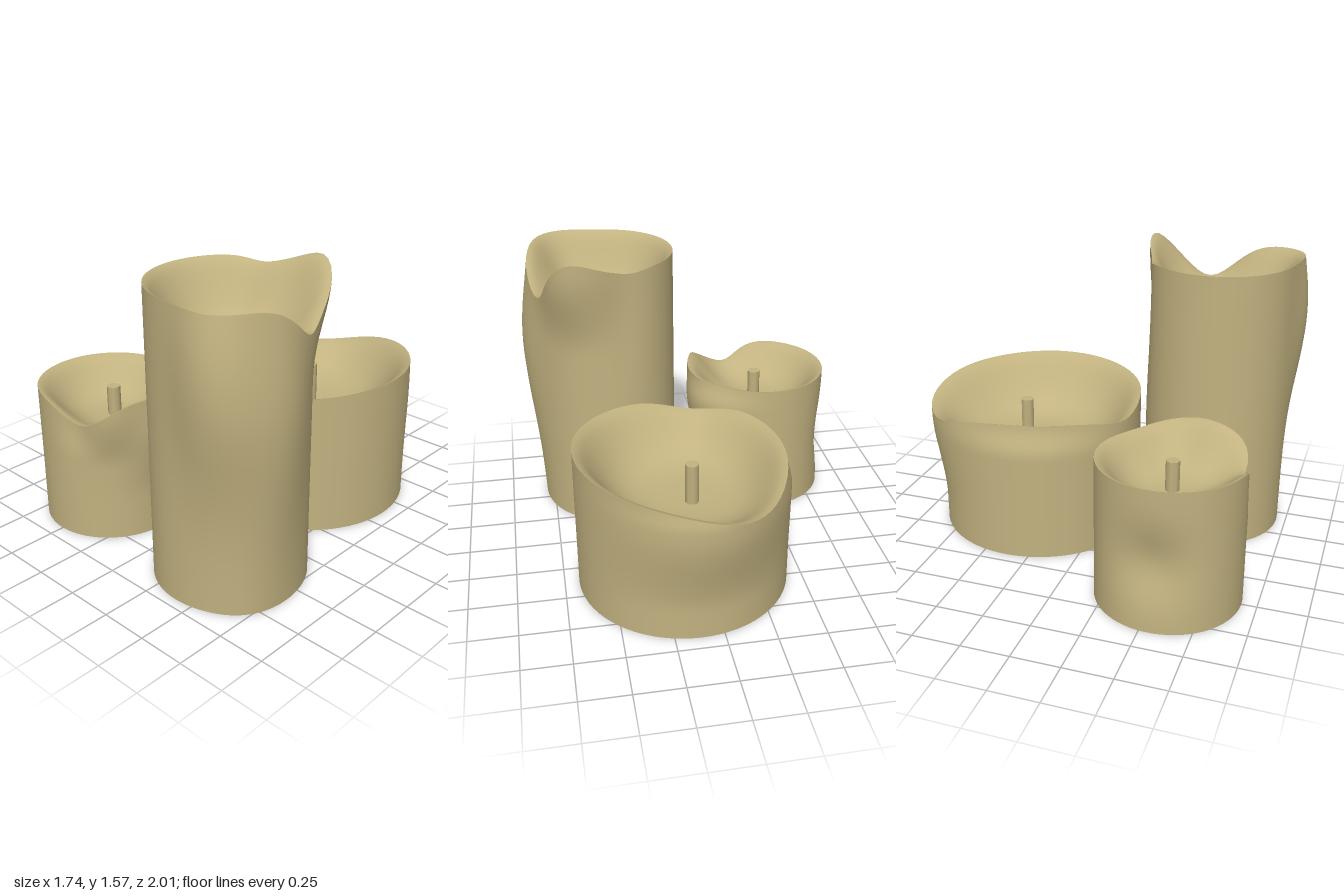
import * as THREE from 'three';

const SEGMENTS = 72;

// Smooth bump around the candle, centred on an angle in degrees
// (0 is +x, 90 is +z).
function around(angle, centre, width) {
  const d = ((angle - centre + 540) % 360) - 180;
  return Math.exp(-((d / width) ** 2));
}
// Smooth swelling up the candle, fading over different lengths below and above.
const swell = (y, centre, below, above) =>
  Math.exp(-(((y - centre) / (y < centre ? below : above)) ** 2));
const ramp = (y, from, to) => THREE.MathUtils.smoothstep(y, from, to);

// Closed surface through rings; point(row, angle) gives [radius, height].
function ringSurface(rows, point) {
  const positions = [];
  const index = [];
  for (let j = 0; j <= rows; j++) {
    for (let i = 0; i < SEGMENTS; i++) {
      const deg = (i / SEGMENTS) * 360;
      const a = THREE.MathUtils.degToRad(deg);
      const [r, y] = point(j / rows, deg);
      positions.push(r * Math.cos(a), y, r * Math.sin(a));
      if (j === rows) continue;
      const k = (i + 1) % SEGMENTS;
      const p = j * SEGMENTS + i, q = j * SEGMENTS + k;
      index.push(p, p + SEGMENTS, q, q, p + SEGMENTS, q + SEGMENTS);
    }
  }
  const geometry = new THREE.BufferGeometry();
  geometry.setAttribute('position', new THREE.Float32BufferAttribute(positions, 3));
  geometry.setIndex(index);
  geometry.computeVertexNormals();
  return geometry;
}

function makeCandle(spec, wax) {
  const { name, centre, radius, rim, floor, hollow, wick } = spec;
  const candle = new THREE.Group();
  candle.name = name;
  candle.position.set(centre[0], 0, centre[1]);
  const add = (part, geometry) => {
    const mesh = new THREE.Mesh(geometry, wax);
    mesh.name = part;
    candle.add(mesh);
    return mesh;
  };

  // outer wall, sagging and bulging as it rises
  add('wall', ringSurface(28, (t, a) => {
    const y = t * rim(a);
    return [radius(a, y), y];
  }));
  // melted hollow: a rounded lip, then a bowl down to the wick
  add('meltedHollow', ringSurface(20, (t, a) => {
    const s = 1 - t;
    const top = rim(a);
    const rise = Math.sin((Math.PI / 2) * s ** hollow);
    return [radius(a, top) * s, floor + (top - floor) * rise];
  }));
  // flat underside
  add('underside', ringSurface(1, (t, a) => [radius(a, 0) * t, 0]));
  // wick
  const bottom = floor - 0.05;
  const stem = add('wick', new THREE.CylinderGeometry(0.036, 0.036, wick.top - bottom, 8));
  stem.position.set(wick.x - centre[0], (wick.top + bottom) / 2, wick.z - centre[1]);
  return candle;
}

const candles = [
  {
    name: 'smallCandle',
    centre: [-0.5, 0.547],
    radius: (a, y) => 0.375
      + 0.066 * around(a, -11, 38) * ramp(y, 0.22, 0.62)
      - 0.038 * around(a, -40, 30) * ramp(y, 0.62, 0.76)
      + 0.05 * around(a, 42, 19) * ramp(y, 0.42, 0.72)
      - 0.02 * around(a, 68, 14) * ramp(y, 0.45, 0.65)
      - 0.055 * around(a, 180, 26) * swell(y, 0.35, 0.18, 0.18),
    rim: (a) => 0.75 + 0.038 * around(a, 14, 32) - 0.105 * around(a, 64, 23),
    floor: 0.56,
    hollow: 3.2,
    wick: { x: -0.47, z: 0.545, top: 0.72 },
  },
  {
    name: 'tallCandle',
    centre: [0.4, 0.563],
    radius: (a, y) => 0.385
      + 0.02 * around(a, 38, 28) * (1 - ramp(y, 0, 0.8))
      + 0.1 * around(a, 22, 30) * swell(y, 0.95, 0.62, 0.52)
      + 0.11 * around(a, 55, 24) * swell(y, 1.22, 0.55, 0.5)
      + 0.09 * around(a, 303, 27) * ramp(y, 1.05, 1.5)
      - 0.02 * around(a, 260, 18) * ramp(y, 0.6, 1.4),
    rim: (a) => 1.508 - 0.2 * around(a, -20, 28) + 0.08 * around(a, 298, 20)
      - 0.02 * around(a, 252, 16),
    floor: 1.2,
    hollow: 3.3,
    wick: { x: 0.39, z: 0.545, top: 1.31 },
  },
  {
    name: 'wideCandle',
    centre: [0.118, -0.367],
    radius: (a, y) => 0.556
      + 0.078 * around(a, 266, 39) * ramp(y, 0.15, 0.62)
      - 0.02 * around(a, 266, 39) * ramp(y, 0.66, 0.76)
      - 0.045 * around(a, 168, 42) * ramp(y, 0.58, 0.745),
    rim: (a) => 0.748 + 0.037 * around(a, -5, 70) - 0.1 * around(a, 240, 32)
      - 0.055 * around(a, 105, 22),
    floor: 0.48,
    hollow: 3.9,
    wick: { x: 0.08, z: -0.44, top: 0.7 },
  },
];

export function createModel() {
  const wax = new THREE.MeshStandardMaterial({ color: 0xc2b280 });
  wax.name = 'wax';
  const model = new THREE.Group();
  model.name = 'candleGroup';
  for (const spec of candles) model.add(makeCandle(spec, wax));
  return model;
}
